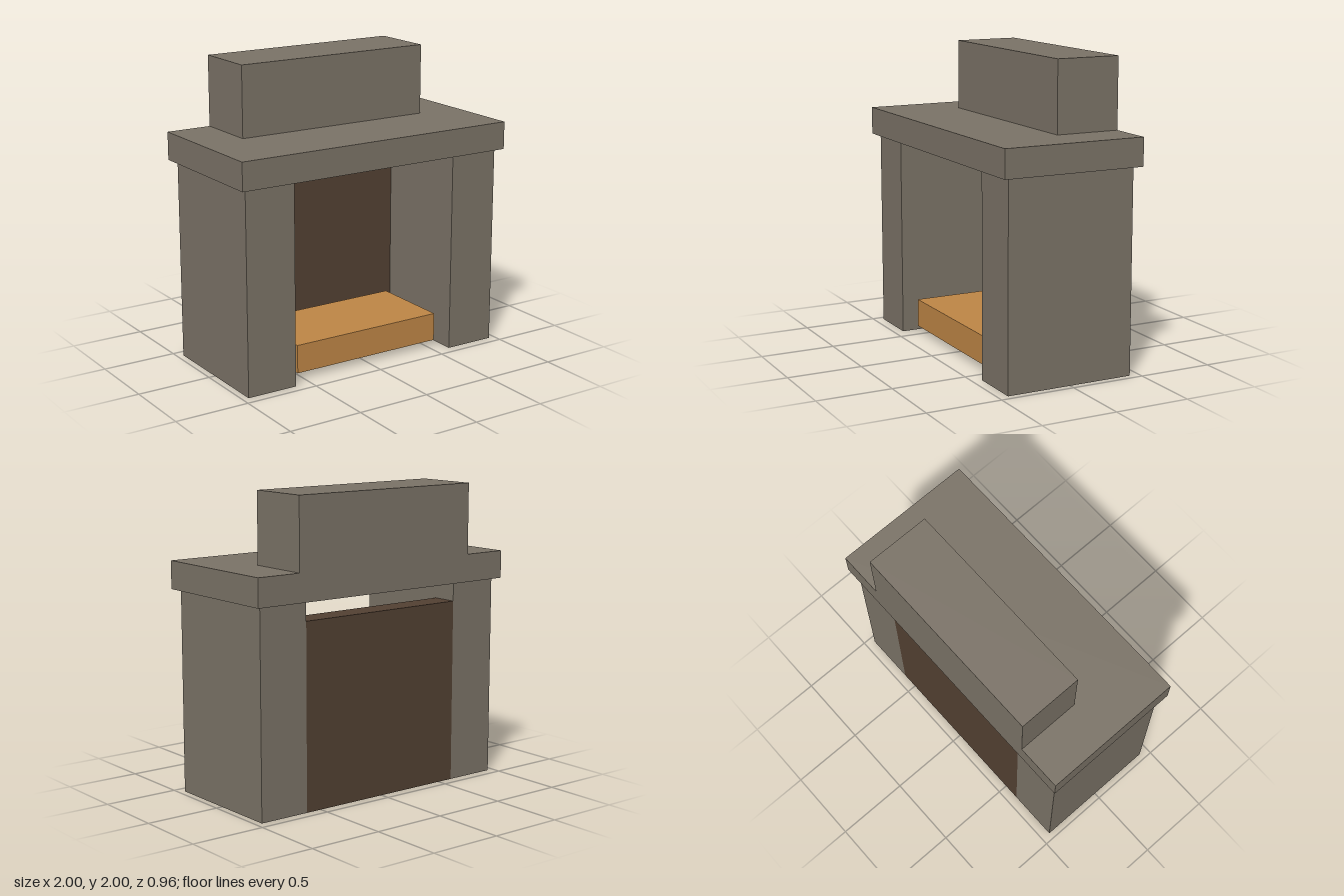
import * as THREE from 'three';

const material = (name, color) => {
  const m = new THREE.MeshStandardMaterial({ color });
  m.name = name;
  return m;
};

// Box given by its min and max on each axis
function block(name, mat, [x0, x1], [y0, y1], [z0, z1]) {
  const mesh = new THREE.Mesh(new THREE.BoxGeometry(x1 - x0, y1 - y0, z1 - z0), mat);
  mesh.name = name;
  mesh.position.set((x0 + x1) / 2, (y0 + y1) / 2, (z0 + z1) / 2);
  return mesh;
}

export function createModel() {
  const stone = material('stone', 0x7a7266);
  const soot = material('sooty brick', 0x524032);
  const ember = material('ember orange', 0xbd8545);

  const fireplace = new THREE.Group();
  fireplace.name = 'fireplace';

  // Side pillars
  fireplace.add(
    block('leftPillar', stone, [0.61, 0.957], [0, 1.345], [-0.435, 0.435]),
    block('rightPillar', stone, [-0.957, -0.61], [0, 1.345], [-0.435, 0.435])
  );

  // Mantel slab with the chimney flush at its back
  fireplace.add(
    block('mantel', stone, [-1, 1], [1.345, 1.53], [-0.48, 0.48]),
    block('chimney', stone, [-0.693, 0.693], [1.53, 2], [-0.48, -0.045])
  );

  // Firebox back wall, stopping short of the mantel
  fireplace.add(block('backWall', soot, [-0.61, 0.61], [0, 1.22], [-0.435, -0.261]));

  // Glowing bed, raised slightly off the floor
  fireplace.add(block('emberBed', ember, [-0.544, 0.544], [0.045, 0.235], [-0.215, 0.35]));

  return fireplace;
}
